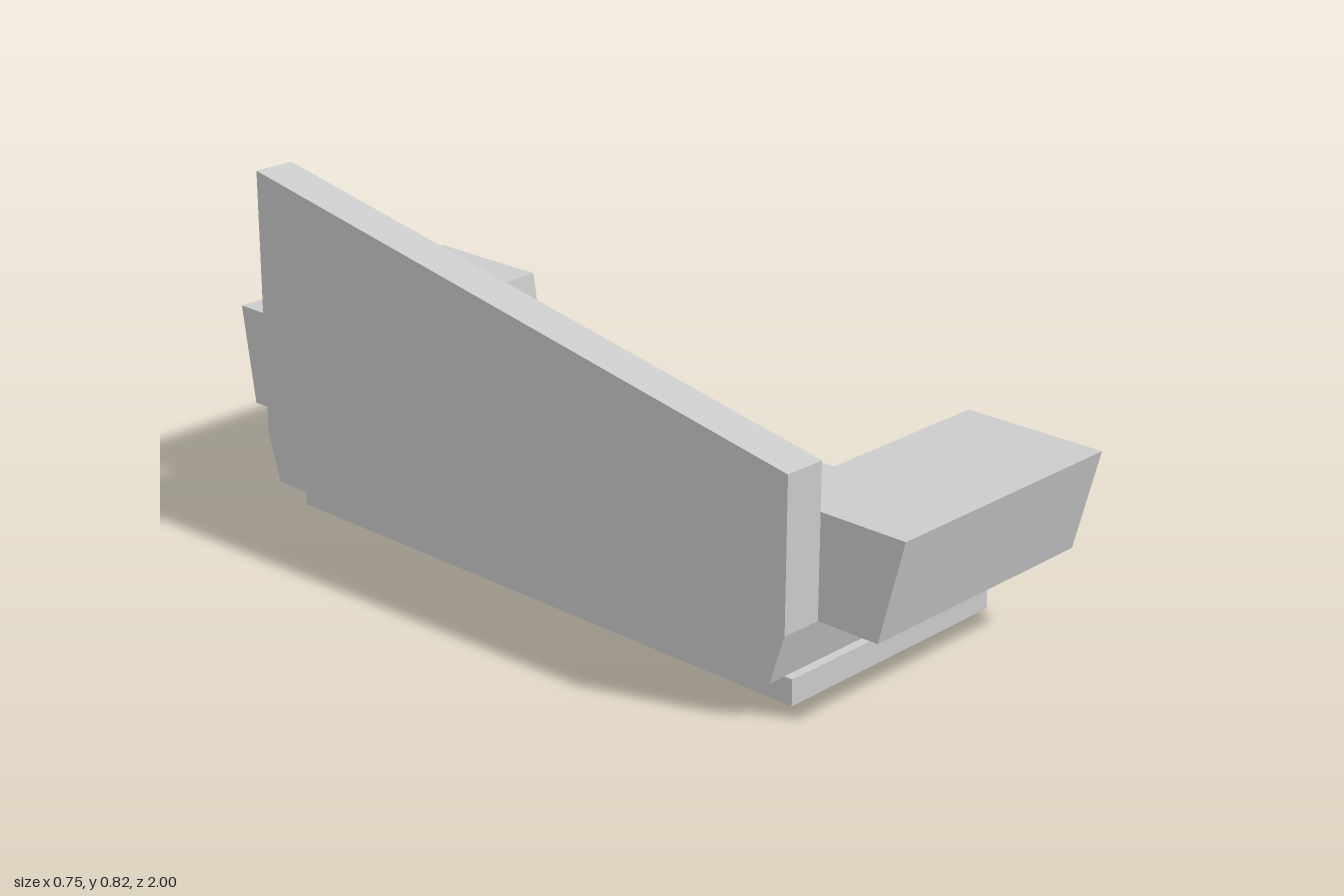
import * as THREE from 'three';
import { ConvexGeometry } from 'three/addons/geometries/ConvexGeometry.js';

const material = new THREE.MeshStandardMaterial({ color: 0xcccccc, flatShading: true });

function part(name, geometry) {
  const mesh = new THREE.Mesh(geometry, material);
  mesh.name = name;
  return mesh;
}

function extrude(points, depth) {
  const shape = new THREE.Shape(points.map(([a, b]) => new THREE.Vector2(a, b)));
  return new THREE.ExtrudeGeometry(shape, { depth, bevelEnabled: false });
}

// Side profile given as [z, y], swept from x0 to x1
function sideProfile(points, x0, x1) {
  return extrude(points, x1 - x0).rotateY(-Math.PI / 2).translate(x1, 0, 0);
}

// Box with every edge and corner chamfered
function chamferedBox(w, h, d, c) {
  const points = [];
  for (const x of [-1, 1]) for (const y of [-1, 1]) for (const z of [-1, 1]) {
    const [a, b, e] = [w / 2, h / 2, d / 2];
    points.push(
      new THREE.Vector3(x * a, y * (b - c), z * (e - c)),
      new THREE.Vector3(x * (a - c), y * b, z * (e - c)),
      new THREE.Vector3(x * (a - c), y * (b - c), z * e));
  }
  return new ConvexGeometry(points);
}

export function createModel() {
  const sofa = new THREE.Group();
  sofa.name = 'sofa';

  // Plinth and the recessed neck above it
  sofa.add(part('plinth', new THREE.BoxGeometry(0.645, 0.06, 1.505).translate(0.0255, 0.03, -0.0075)));
  sofa.add(part('neck', extrude(
    [[-0.257, 0.06], [0.31, 0.06], [0.302, 0.08], [-0.264, 0.08]], 1.425).translate(0, 0, -0.72)));

  // Seat slab with slanted ends
  sofa.add(part('seat', sideProfile(
    [[-0.76, 0.08], [0.75, 0.08], [0.787, 0.195], [-0.795, 0.195]], -0.373, 0.373)));

  // Backrest with sloping top
  sofa.add(part('backrest', sideProfile(
    [[-0.795, 0.195], [0.787, 0.195], [0.787, 0.54], [-0.795, 0.825]], -0.373, -0.272)));

  // Overhanging arms, flaring outward
  sofa.add(part('frontArm', sideProfile(
    [[0.595, 0.195], [0.94, 0.195], [1, 0.431], [0.655, 0.431]], -0.272, 0.373)));
  sofa.add(part('rearArm', sideProfile(
    [[-0.963, 0.195], [-0.635, 0.195], [-0.675, 0.431], [-1, 0.431]], -0.272, 0.373)));

  // Leaning cushions: centre, horizontal facing direction, backward tilt
  const cushions = [
    { at: [-0.13, 0.32, -0.2], face: [0.985, 0.17], tilt: 0.74 },
    { at: [-0.085, 0.32, -0.44], face: [0.87, 0.5], tilt: 0.72 },
    { at: [0.093, 0.32, -0.517], face: [0.6, 0.8], tilt: 0.68 },
  ];
  const cushionShape = chamferedBox(0.31, 0.285, 0.1, 0.035);
  cushions.forEach(({ at, face, tilt }, i) => {
    const cushion = part(`cushion${i + 1}`, cushionShape);
    cushion.position.set(...at);
    cushion.rotation.set(-tilt, Math.atan2(face[0], face[1]), 0, 'YXZ');
    sofa.add(cushion);
  });

  return sofa;
}
